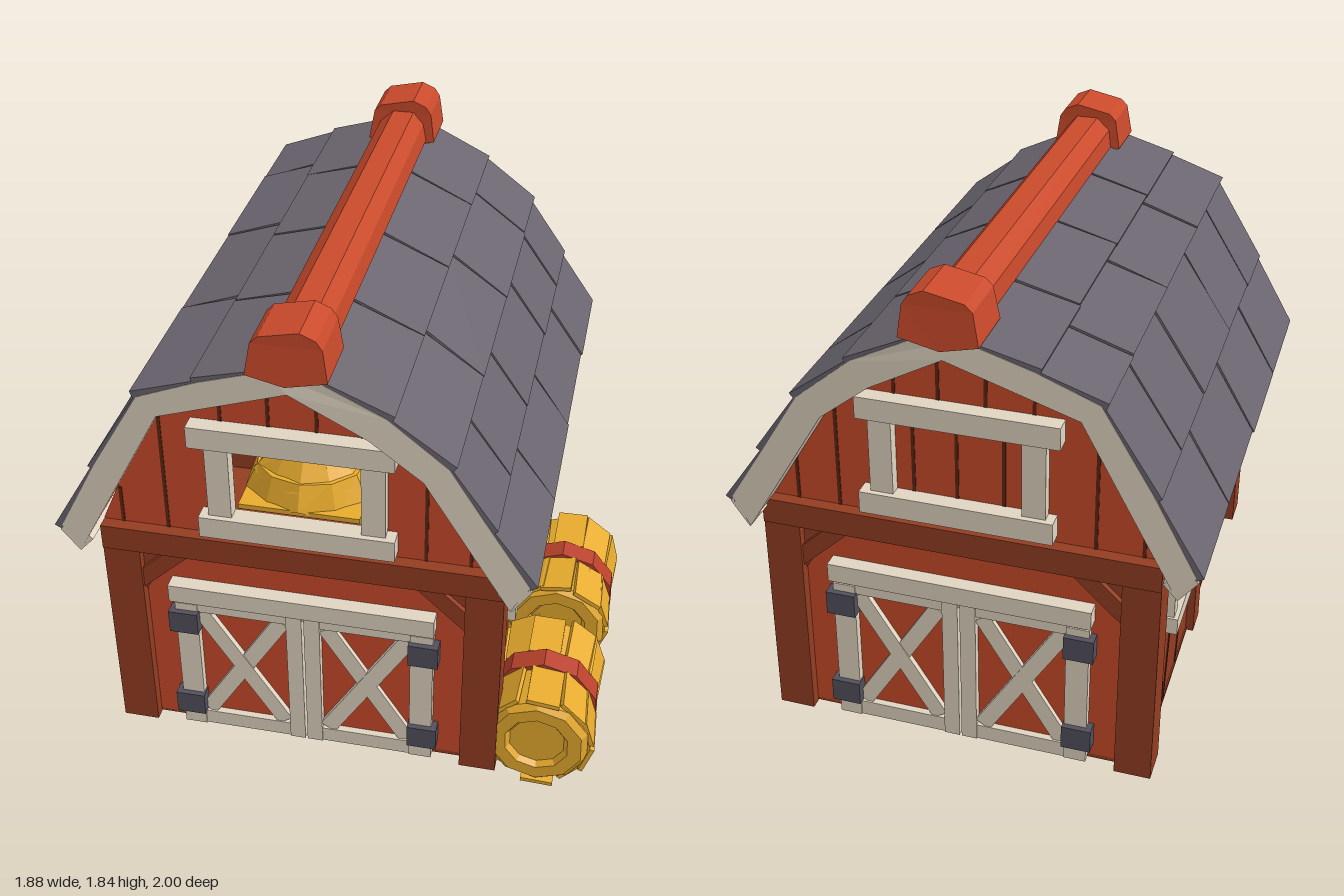
import * as THREE from 'three';

const CX = -0.105; // barn centre line

const mat = (name, color) => { const m = new THREE.MeshStandardMaterial({ color }); m.name = name; return m; };

export function createModel() {
  const red = mat('barn red', 0xca4a2b), brown = mat('timber brown', 0x933d21), dark = mat('groove brown', 0x5c2612);
  const slate = mat('roof slate', 0x6b656f), cream = mat('cream trim', 0xe0d4c1), hay = mat('straw gold', 0xeaad2e);
  const iron = mat('hinge iron', 0x524f5c), strap = mat('bale strap', 0xb8402b);
  const model = new THREE.Group();
  model.name = 'barn';
  let seed = 7;
  const rand = () => { seed = (seed * 16807) % 2147483647; return seed / 2147483647; };

  const add = (name, geo, m, parent = model) => {
    const mesh = new THREE.Mesh(geo, m);
    mesh.name = name;
    parent.add(mesh);
    return mesh;
  };
  const box = (name, m, x0, x1, y0, y1, z0, z1, parent) => {
    const b = add(name, new THREE.BoxGeometry(Math.abs(x1 - x0), Math.abs(y1 - y0), Math.abs(z1 - z0)), m, parent);
    b.position.set((x0 + x1) / 2, (y0 + y1) / 2, (z0 + z1) / 2);
    return b;
  };
  // plank between two points on a front (x,y) or side (z,y) plane
  const plank = (name, m, a, b, width, thick, level, side, parent) => {
    const len = Math.hypot(b[0] - a[0], b[1] - a[1]), ang = Math.atan2(b[1] - a[1], b[0] - a[0]);
    const p = add(name, side ? new THREE.BoxGeometry(thick, width, len) : new THREE.BoxGeometry(len, width, thick), m, parent);
    const u = (a[0] + b[0]) / 2, v = (a[1] + b[1]) / 2;
    if (side) { p.position.set(level, v, u); p.rotation.x = -ang; }
    else { p.position.set(u, v, level); p.rotation.z = ang; }
    return p;
  };
  const shapeOf = pts => new THREE.Shape(pts.map(p => new THREE.Vector2(p[0], p[1])));
  const slab = (shape, z0, z1) =>
    new THREE.ExtrudeGeometry(shape, { depth: z1 - z0, bevelEnabled: false }).translate(0, 0, z0);
  // roof ends swell outward slightly toward the ridge
  const bow = geo => {
    const p = geo.attributes.position;
    for (let i = 0; i < p.count; i++)
      p.setZ(i, p.getZ(i) * (1 + 0.03 * Math.max(0, 1 - Math.abs(p.getX(i) + 0.1) / 0.83)));
    geo.computeVertexNormals();
    return geo;
  };
  const facet = geo => {
    const g = geo.index ? geo.toNonIndexed() : geo;
    g.computeVertexNormals();
    return g;
  };

  // Body and boarded floor
  box('body', brown, -0.755, 0.545, 0.075, 0.92, -0.85, 0.85);
  box('floor', brown, -0.76, 0.55, 0.065, 0.08, -0.86, 0.86);
  for (let i = 1; i < 9; i++) {
    const z = -0.86 + i * 0.191;
    box('floorGroove', dark, -0.75, 0.54, 0.063, 0.066, z - 0.005, z + 0.005);
  }

  // Gable walls; the front one has a loft opening
  const gable = [[-0.79, 0.9], [-0.8, 0.96], [-0.56, 1.5], [-0.1, 1.66], [0.17, 1.51], [0.35, 1.37], [0.59, 0.96], [0.59, 0.9]];
  const frontGable = shapeOf(gable);
  frontGable.holes.push(shapeOf([[-0.34, 1.04], [0.12, 1.04], [0.12, 1.36], [-0.34, 1.36]]));
  add('frontGable', slab(frontGable, 0.82, 0.86), red);
  add('backGable', slab(shapeOf(gable), -0.86, -0.82), red);
  box('loftBackWall', brown, -0.6, 0.4, 0.9, 1.42, 0.42, 0.44);

  // Loft straw pile
  const pile = new THREE.Group();
  pile.name = 'loftStraw';
  pile.position.set(-0.125, 0, 0.62);
  model.add(pile);
  box('loftStrawBed', hay, -0.21, 0.21, 0.92, 1.05, -0.15, 0.19, pile);
  [[0.235, 0.19, 1.03, 1.14], [0.205, 0.13, 1.1, 1.2], [0.15, 0.03, 1.165, 1.255]].forEach(([rb, rt, y0, y1], i) => {
    const g = new THREE.CylinderGeometry(rt, rb, y1 - y0, 11);
    const p = g.attributes.position;
    for (let k = 0; k < p.count; k++) {
      const wave = Math.sin(Math.atan2(p.getZ(k), p.getX(k)) * 5 + i);
      if (p.getY(k) < 0) p.setY(k, p.getY(k) + 0.022 * wave);
      p.setZ(k, p.getZ(k) * 0.85);
    }
    add('strawLayer', facet(g).translate(0, (y0 + y1) / 2, 0), hay, pile);
  });

  // Both end facades
  for (const s of [1, -1]) {
    const f = new THREE.Group();
    f.name = s > 0 ? 'frontFacade' : 'backFacade';
    model.add(f);
    const b = (n, m, x0, x1, y0, y1, z0, z1) => box(n, m, x0, x1, y0, y1, s * z0, s * z1, f);
    b('endWall', red, -0.7, 0.49, 0.075, 0.9, 0.84, 0.86);
    b('tieBeam', brown, -0.8, 0.59, 0.86, 0.955, 0.82, 0.905);
    // board grooves
    for (const [x, y0, y1] of [[-0.73, 0.95, 1.1], [-0.57, 0.95, 1.44], [-0.36, 1.42, 1.56], [-0.2, 1.42, 1.62], [-0.04, 1.42, 1.61],
      [0.11, 1.42, 1.53], [0.32, 0.95, 1.36], [0.47, 0.95, 1.14]])
      b('boardGroove', dark, x - 0.006, x + 0.006, y0, y1, 0.858, 0.863);
    if (s < 0) for (const x of [-0.26, -0.1, 0.05]) b('boardGroove', dark, x - 0.006, x + 0.006, 1.05, 1.35, 0.858, 0.863);
    // loft frame
    b('loftFrameSide', cream, -0.41, -0.33, 1.05, 1.35, 0.85, 0.9);
    b('loftFrameSide', cream, 0.11, 0.19, 1.05, 1.35, 0.85, 0.9);
    b('loftFrameTop', cream, -0.46, 0.225, 1.34, 1.42, 0.85, 0.92);
    b('loftFrameSill', cream, -0.44, 0.225, 0.98, 1.06, 0.85, 0.92);
    // doors
    b('doorLintel', cream, -0.575, 0.36, 0.665, 0.735, 0.85, 0.915);
    b('doorTopRail', cream, -0.55, 0.35, 0.63, 0.67, 0.85, 0.885);
    for (const m of [1, -1]) {
      const X = d => CX + m * d;
      const d = (n, mt, x0, x1, y0, y1, z0, z1) => b(n, mt, X(x0), X(x1), y0, y1, z0, z1);
      d('doorOuterStile', cream, 0.38, 0.46, 0.065, 0.64, 0.85, 0.89);
      d('doorInnerStile', cream, 0.004, 0.06, 0.065, 0.65, 0.85, 0.89);
      d('doorUpperRail', cream, 0.06, 0.39, 0.605, 0.64, 0.85, 0.885);
      d('doorLowerRail', cream, 0.06, 0.39, 0.065, 0.125, 0.85, 0.885);
      plank('doorBrace', cream, [X(0.08), 0.13], [X(0.37), 0.6], 0.06, 0.03, s * 0.866, false, f);
      plank('doorBrace', cream, [X(0.08), 0.6], [X(0.37), 0.13], 0.06, 0.03, s * 0.863, false, f);
      for (const y of [0.13, 0.52]) d('hinge', iron, 0.375, 0.48, y, y + 0.09, 0.86, 0.91);
      d('cornerPost', brown, 0.565, 0.695, 0.06, 0.9, 0.77, 0.9);
      const gusset = shapeOf([[X(0.57), 0.66], [X(0.57), 0.87], [X(0.36), 0.87], [X(0.48), 0.81]]);
      add('cornerGusset', slab(gusset, s > 0 ? 0.858 : -0.868, s > 0 ? 0.868 : -0.858), brown, f);
      plank('kneeBrace', brown, [X(0.59), 0.71], [X(0.42), 0.87], 0.06, 0.04, s * 0.868, false, f);
    }
  }

  // Both long sides
  for (const s of [1, -1]) {
    const w = new THREE.Group();
    w.name = s > 0 ? 'leftWall' : 'rightWall';
    model.add(w);
    const b = (n, m, x0, x1, y0, y1, z0, z1) => box(n, m, CX + s * x0, CX + s * x1, y0, y1, z0, z1, w);
    b('middlePost', brown, 0.62, 0.68, 0.065, 0.9, -0.055, 0.055);
    b('wallPlate', brown, 0.6, 0.69, 0.87, 0.95, -0.88, 0.88);
    const grooves = [[[0.51, 0.86], [0.765, 0.43]], [[0.65, 0.86], [0.72, 0.45]], [[-0.19, 0.43], [-0.28, 0.08]], [[-0.42, 0.43], [-0.49, 0.08]],
      [[-0.57, 0.43], [-0.51, 0.08]], [[-0.57, 0.43], [-0.65, 0.08]], [[-0.65, 0.68], [-0.65, 0.35]], [[0.35, 0.43], [0.35, 0.08]], [[0.12, 0.86], [0.12, 0.08]]];
    for (const [p, q] of grooves) plank('wallGroove', dark, p, q, 0.01, 0.006, CX + s * 0.651, true, w);
    plank('wallPatch', slate, [-0.59, 0.86], [-0.66, 0.77], 0.06, 0.006, CX + s * 0.651, true, w);
    b('wallPatch', slate, 0.648, 0.654, 0.7, 0.74, 0.69, 0.715);
    for (const [z0, z1] of [[0.13, 0.52], [-0.57, -0.13]]) {
      const zm = (z0 + z1) / 2;
      b('windowHead', cream, 0.64, 0.7, 0.69, 0.755, z0, z1);
      b('windowSill', cream, 0.64, 0.7, 0.44, 0.505, z0, z1);
      b('windowJamb', cream, 0.64, 0.685, 0.5, 0.7, z0 + 0.01, z0 + 0.07);
      b('windowJamb', cream, 0.64, 0.685, 0.5, 0.7, z1 - 0.07, z1 - 0.01);
      b('windowMullion', cream, 0.64, 0.67, 0.5, 0.7, zm - 0.013, zm + 0.013);
      b('windowMullion', cream, 0.64, 0.67, 0.582, 0.606, z0 + 0.06, z1 - 0.06);
    }
  }

  // Roof deck and bargeboards share one gambrel outline
  const slopes = {
    left: [[-0.04, 1.705], [0.21, 1.575], [0.405, 1.41], [0.54, 1.19], [0.675, 0.975]],
    right: [[-0.16, 1.705], [-0.39, 1.63], [-0.595, 1.545], [-0.77, 1.25], [-0.915, 0.975]],
  };
  const under = [[-0.855, 0.885], [-0.535, 1.48], [-0.1, 1.63], [0.15, 1.49], [0.325, 1.35], [0.615, 0.868]];
  const outline = shapeOf([...slopes.right.slice().reverse(), ...slopes.left, ...under.slice().reverse()]);
  add('roofDeck', slab(outline, -0.87, 0.87), brown);
  add('frontBargeboard', bow(slab(outline, 0.86, 0.95)), cream);
  add('backBargeboard', bow(slab(outline, -0.95, -0.86)), cream);
  add('leftEaveBoard', slab(shapeOf([[0.683, 0.955], [0.62, 0.862], [0.57, 0.93], [0.64, 1.0]]), -0.95, 0.95), cream);
  add('rightEaveBoard', slab(shapeOf([[-0.923, 0.955], [-0.86, 0.875], [-0.81, 0.93], [-0.88, 1.0]]), -0.95, 0.95), cream);

  // Overlapping slates, row by row
  const seams = [[-0.5, 0, 0.47], [-0.63, -0.12, 0.42], [-0.65, -0.27, 0.23, 0.65], [-0.5, 0, 0.47]];
  for (const [side, pts] of Object.entries(slopes)) {
    const s = side === 'left' ? 1 : -1;
    for (let r = 0; r < 4; r++) {
      const a = pts[r], c = pts[r + 1], len = Math.hypot(c[0] - a[0], c[1] - a[1]);
      const dx = (c[0] - a[0]) / len, dy = (c[1] - a[1]) / len, nx = -dy * s, ny = dx * s;
      const at = (t, h) => [a[0] + dx * t + nx * h, a[1] + dy * t + ny * h];
      const edges = [-0.948, ...seams[r], 0.948];
      for (let i = 0; i + 1 < edges.length; i++) {
        const lip = 0.016 + rand() * 0.008, over = 0.01 + rand() * 0.01;
        const g = slab(shapeOf([at(0, -0.02), at(len + over, -0.018), at(len + over, lip), at(0, 0.006)]),
          edges[i] + (i ? 0.003 : 0), edges[i + 1] - (i + 2 < edges.length ? 0.003 : 0));
        // taper each slate a little toward its upper edge
        const p = g.attributes.position, mid = (edges[i] + edges[i + 1]) / 2, k = rand() * 0.035;
        for (let v = 0; v < p.count; v++) {
          const t = Math.hypot(p.getX(v) - a[0], p.getY(v) - a[1]) / len;
          if (Math.abs(p.getZ(v)) < 0.94) p.setZ(v, p.getZ(v) + (mid - p.getZ(v)) * k * (1 - t));
        }
        add(side + 'Slate', bow(g), slate);
      }
    }
  }

  // Ridge beam with end caps
  add('ridgeBeam', slab(shapeOf([[-0.19, 1.7], [-0.18, 1.77], [-0.13, 1.815], [-0.05, 1.815], [-0.01, 1.77], [0.003, 1.705], [-0.1, 1.67]]), -0.9, 0.9), red);
  const cap = shapeOf([[-0.225, 1.7], [-0.205, 1.81], [-0.18, 1.835], [-0.05, 1.862], [0.0, 1.84], [0.02, 1.81], [0.035, 1.7], [-0.1, 1.67]]);
  for (const s of [1, -1]) {
    const g = slab(cap, -0.108, 0.108);
    const p = g.attributes.position;
    for (let i = 0; i < p.count; i++) if (p.getY(i) > 1.75) p.setZ(i, p.getZ(i) * 0.93); // flared foot
    g.computeVertexNormals();
    add(s > 0 ? 'frontRidgeCap' : 'backRidgeCap', g.translate(0, 0, s * 0.892), red);
  }

  // Round straw bales
  for (const z of [0.66, 0.036]) {
    const bale = new THREE.Group();
    bale.name = 'strawBale';
    bale.position.set(0.73, 0.217, z);
    bale.rotation.z = z;
    model.add(bale);
    const prof = [[0, -0.215], [0.1, -0.215], [0.115, -0.235], [0.165, -0.235], [0.187, -0.215], [0.183, 0],
      [0.187, 0.215], [0.165, 0.235], [0.115, 0.235], [0.1, 0.215], [0, 0.215]];
    const core = new THREE.LatheGeometry(prof.map(p => new THREE.Vector2(...p)), 10);
    add('baleCore', facet(core).rotateX(Math.PI / 2), hay, bale);
    add('baleStrap', facet(new THREE.CylinderGeometry(0.2, 0.2, 0.085, 10)).rotateX(Math.PI / 2), strap, bale);
    // loose straw tufts flaring toward the ends
    for (const e of [1, -1]) for (let k = 0; k < 10; k++) {
      const ang = (k + 0.5 + (rand() - 0.5) * 0.3) * Math.PI / 5, l = 0.16 + rand() * 0.04;
      const t = add('baleTuft', new THREE.BoxGeometry(0.016, 0.115, l), hay, bale);
      t.position.set(Math.cos(ang) * 0.18, Math.sin(ang) * 0.18, e * (0.04 + l / 2));
      t.rotation.set(0, 0, ang + (rand() - 0.5) * 0.2);
      t.rotateY(e * 0.05);
    }
  }
  return model;
}
